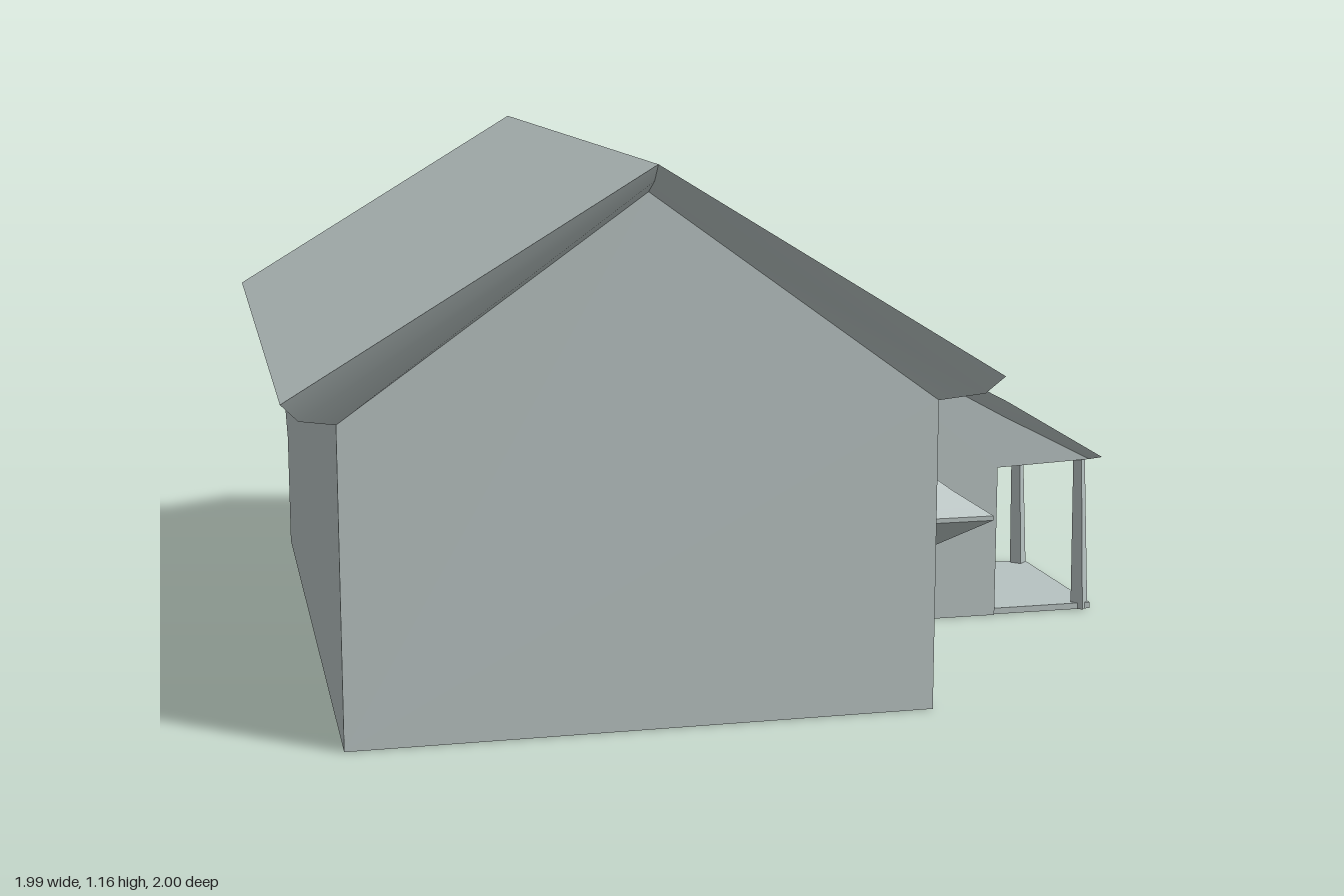
import * as THREE from 'three';
import { toCreasedNormals } from 'three/addons/utils/BufferGeometryUtils.js';

export function createModel() {
  const house = new THREE.Group();
  house.name = 'house';
  const plaster = new THREE.MeshStandardMaterial({ color: 0xb7c2c1, side: THREE.DoubleSide });
  plaster.name = 'pale grey plaster';

  function add(name, geometry) {
    const mesh = new THREE.Mesh(geometry, plaster);
    mesh.name = name;
    house.add(mesh);
    return mesh;
  }

  // Surface stretched across a list of equally long point rows
  function loft(name, rows, crease = 0.7) {
    const n = rows[0].length;
    const index = [];
    for (let r = 0; r < rows.length - 1; r++) {
      for (let i = 0; i < n - 1; i++) {
        const a = r * n + i, b = a + n;
        index.push(a, a + 1, b, a + 1, b + 1, b);
      }
    }
    const g = new THREE.BufferGeometry();
    g.setAttribute('position', new THREE.Float32BufferAttribute(rows.flat(2), 3));
    g.setIndex(index);
    return add(name, toCreasedNormals(g, crease));
  }

  // Flat panel in the x-y plane
  function panel(name, points, z) {
    const shape = new THREE.Shape(points.map(([x, y]) => new THREE.Vector2(x, y)));
    const mesh = add(name, new THREE.ShapeGeometry(shape));
    mesh.position.z = z;
    return mesh;
  }

  const L = -0.89, R = 0.34, F = 0.91, B = -0.82, ridge = -0.27;

  // Main roof sheet
  loft('mainRoof', [1, -0.905].map((z) => [[-1, 0.72, z], [ridge, 1.16, z], [0.45, 0.72, z]]), 0.3);

  // Sloped soffit running round beneath the roof edge
  const rim = (left, right, eave, peak, front, back) => [
    [left, eave, front], [ridge, peak, front], [right, eave, front],
    [right, eave, back], [ridge, peak, back], [left, eave, back], [left, eave, front],
  ];
  loft('roofSoffit', [
    rim(-1, 0.45, 0.72, 1.16, 1, -0.905),
    rim(-0.965, 0.42, 0.68, 1.125, 0.965, -0.87),
    rim(L, R, 0.66, 1.1, F, B),
  ]);

  // Gable walls
  const gableTop = [[R, 0.66], [ridge, 1.1], [L, 0.66]];
  panel('frontWall', [[L, 0], [R, 0], ...gableTop], F);
  panel('backGable', [[L, 0.54], [R, 0.54], ...gableTop], B);

  // Lower wall with flared canopy: distance out from the upper wall, height
  const skirt = [
    [0.075, 0], [0.08, 0.29], [0.18, 0.365], [0.18, 0.375],
    [0.11, 0.42], [0.05, 0.465], [0.015, 0.51], [0, 0.57], [0, 0.67],
  ];
  // Path stations: x, z and the outward direction
  const sweepSkirt = (name, path) => loft(name, path.map(([x, z, dx, dz]) =>
    skirt.map(([d, y]) => [x + dx * d, y, z + dz * d])), 0.6);
  sweepSkirt('backCanopyWall', [[L, B, 0, -1], [R, B, 1, -1], [R, -0.19, 1, 0]]);
  sweepSkirt('sideBayCanopy', [[R, 0.25, 1, 0], [R, 0.59, 1, 1], [R - 0.01, 0.59, 0, 1]]);

  // Left wall, closing the end of the canopy at the back
  const side = [[-F, 0], [-F, 0.66], [-B, 0.66], ...skirt.slice().reverse().map(([d, y]) => [-B + d, y])];
  const leftWall = panel('leftWall', side, 0);
  leftWall.rotation.y = Math.PI / 2;
  leftWall.position.x = L;

  // Right wall ahead of the bay, and the ceiling
  loft('rightWall', [[[R, 0, F], [R, 0.66, F]], [[R, 0, 0.58], [R, 0.66, 0.58]]]);
  loft('ceiling', [[[L, 0.63, F], [R, 0.63, F]], [[L, 0.63, B], [R, 0.63, B]]]);

  // Side wing roof
  const wingRoof = [[0.44, 0.726], [0.465, 0.675], [0.74, 0.53], [0.985, 0.385]];
  loft('wingRoof', [0.28, -0.22].map((z) => wingRoof.map(([x, y]) => [x, y, z])), 0.6);

  // Wing side walls and their soffits
  const wingTop = [[0.36, 0.66], [0.465, 0.64], [0.74, 0.49], [0.965, 0.375]];
  for (const [edge, wall] of [[0.28, 0.25], [-0.22, -0.19]]) {
    panel('wingSideWall', [[R, 0], [0.73, 0], [0.73, 0.365], ...wingTop.slice().reverse(), [R, 0.66]], wall);
    loft('wingSoffit', [
      wingRoof.map(([x, y]) => [x, y, edge]),
      wingTop.map(([x, y]) => [x, y, wall]),
    ]);
  }

  // Wing end wall, porch ceiling and eave edge
  const porch = [[0.73, 0], [0.73, 0.375], [0.965, 0.375], [0.985, 0.385]];
  loft('wingEndWall', [0.25, -0.19].map((z) => porch.map(([x, y]) => [x, y, z])), 0.3);

  // Porch floor
  const floor = add('porchFloor', new THREE.BoxGeometry(0.25, 0.015, 0.43));
  floor.position.set(0.855, 0.0075, 0.03);

  // Tapered porch posts
  for (const z of [0.232, -0.172]) {
    const post = add('porchPost', new THREE.CylinderGeometry(0.015, 0.022, 0.375, 4, 1).toNonIndexed());
    post.geometry.computeVertexNormals();
    post.position.set(0.952, 0.1875, z);
    post.rotation.z = 0.03;
  }

  return house;
}
